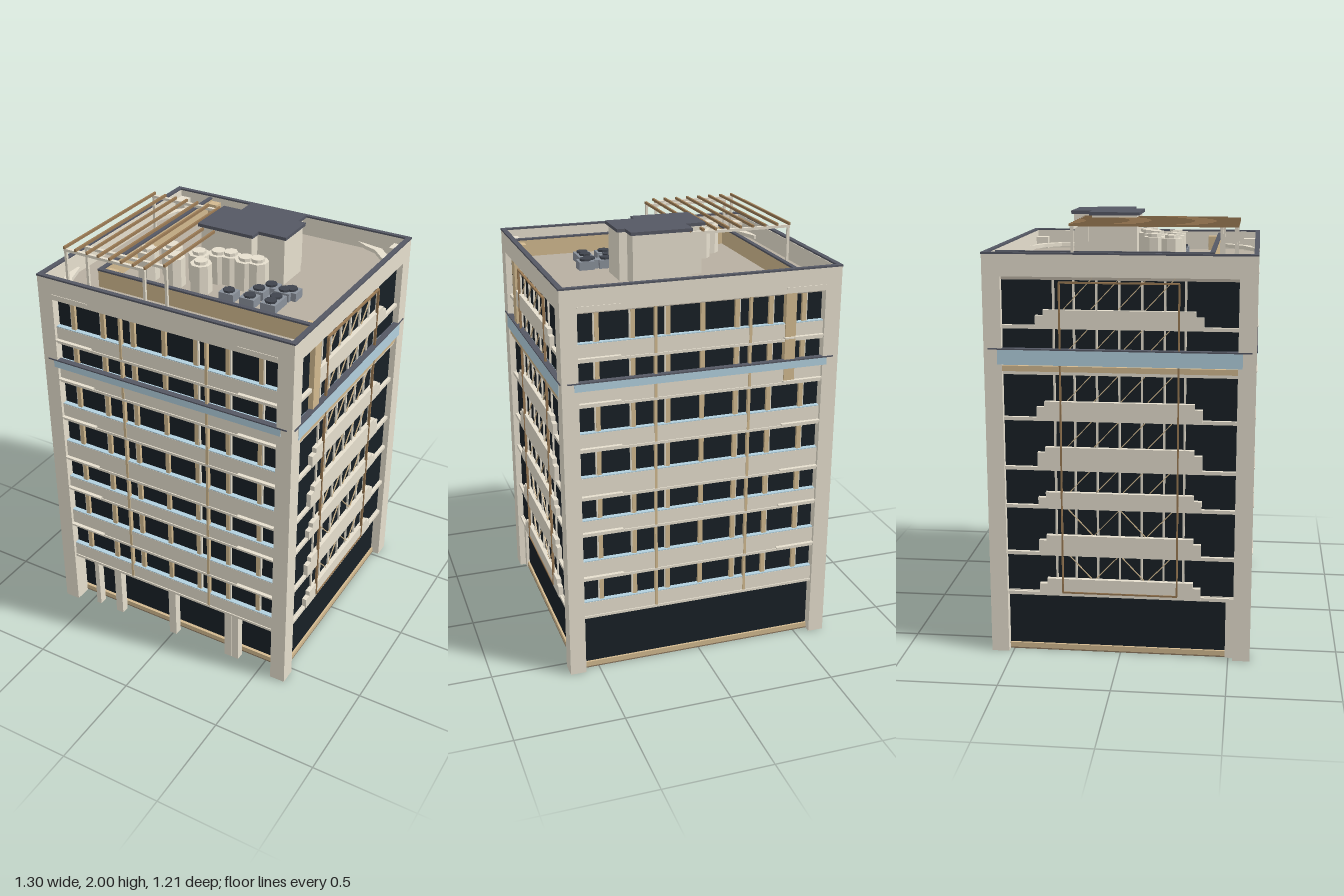
import * as THREE from 'three';

const mat = (color) => new THREE.MeshStandardMaterial({ color, flatShading: true });
const M = {
  wall: mat(0xe6dfce), tan: mat(0xd2b98f), glass: mat(0x182026), blue: mat(0xb2d0de),
  dark: mat(0x555864), roof: mat(0xb8afa1), brown: mat(0x9a7a54), base: mat(0x8d7860),
  unit: mat(0x8a919b), fan: mat(0x3f444d),
};

// Box given by its limits on each axis
function box(parent, name, m, x0, x1, y0, y1, z0, z1) {
  const mesh = new THREE.Mesh(new THREE.BoxGeometry(x1 - x0, y1 - y0, z1 - z0), m);
  mesh.position.set((x0 + x1) / 2, (y0 + y1) / 2, (z0 + z1) / 2);
  mesh.name = name;
  parent.add(mesh);
  return mesh;
}

function group(parent, name) {
  const g = new THREE.Group();
  g.name = name;
  parent.add(g);
  return g;
}

// Window rows, bottom to top: [sill, head]
const ROWS = [[0.365, 0.475], [0.575, 0.70], [0.78, 0.88], [0.99, 1.11],
  [1.20, 1.32], [1.435, 1.525], [1.61, 1.755]];
const SLABS = [0.28, ...ROWS.slice(0, 6).map((r) => r[1])];
const ROOF = 1.76;

// Long facade facing +z, with solid spandrels and window posts
function longFacade(parent, name) {
  const g = group(parent, name);
  ROWS.forEach(([sill, head], i) => {
    box(g, 'spandrel', M.wall, -0.58, 0.58, SLABS[i], sill - 0.004, 0.5, 0.585);
    box(g, 'sill', M.blue, -0.575, 0.575, sill - 0.004, sill, 0.5, 0.584);
    box(g, 'ledge', M.wall, -0.58, 0.58, SLABS[i], SLABS[i] + 0.012, 0.58, 0.59);
    for (const s of [-1, 1]) {
      for (const x of [0.16, 0.32, 0.48]) {
        box(g, 'windowPost', M.tan, s * x - 0.01, s * x + 0.01, sill, head, 0.55, 0.575);
        box(g, 'windowFrame', M.wall, s * x + s * 0.012 - 0.003, s * x + s * 0.012 + 0.003, sill, head, 0.55, 0.573);
      }
      // Short shading fins beside the corner columns
      box(g, 'shadingFin', M.wall, s * 0.475 - 0.095, s * 0.475 + 0.095, head + 0.015, head + 0.022, 0.58, 0.603);
    }
    box(g, 'windowPost', M.tan, -0.01, 0.01, sill, head, 0.55, 0.575);
  });
  for (const x of [-0.22, 0.22]) box(g, 'pipe', M.tan, x - 0.006, x + 0.006, 0.28, 1.755, 0.57, 0.589);
  box(g, 'balconyGlass', M.blue, -0.59, 0.59, 1.40, 1.435, 0.575, 0.601);
  box(g, 'handrail', M.dark, -0.62, 0.62, 1.435, 1.441, 0.575, 0.603);
  return g;
}

// Short facade facing +x, with balconies, lattice and a thin frame
function shortFacade(parent, name) {
  const g = group(parent, name);
  ROWS.forEach(([sill, head], i) => {
    const y = SLABS[i];
    box(g, 'floorSlab', M.wall, 0.59, 0.632, y, y + 0.016, -0.53, 0.53);
    if (i !== 5) {
      box(g, 'balcony', M.wall, 0.59, 0.637, y + 0.006, sill - 0.025, -0.37, 0.37);
      box(g, 'balconyTop', M.wall, 0.59, 0.637, sill - 0.025, sill, -0.335, 0.335);
    }
    for (const z of [-0.29, -0.2, -0.1, 0, 0.1, 0.2, 0.29])
      box(g, 'mullion', M.wall, 0.6, 0.623, sill, head, z - 0.005, z + 0.005);
    // Diagonal lattice bars
    const h = head - sill;
    for (let k = 0; k < 4; k++) {
      const bar = box(g, 'latticeBar', M.tan, 0.62, 0.625, 0, h * 1.3, -0.002, 0.002);
      bar.position.set(0.6225, (sill + head) / 2, -0.18 + k * 0.12);
      bar.rotation.x = i < 2 && k % 2 ? 0.75 : -0.75;
    }
  });
  for (const z of [-0.262, 0.262]) box(g, 'frameSide', M.brown, 0.63, 0.641, 0.3, 1.73, z - 0.004, z + 0.004);
  for (const y of [0.3, 1.73]) box(g, 'frameBar', M.brown, 0.63, 0.641, y - 0.004, y + 0.004, -0.264, 0.264);
  box(g, 'bandTrim', M.tan, 0.59, 0.638, 1.335, 1.36, -0.54, 0.54);
  box(g, 'balconyGlass', M.blue, 0.6, 0.647, 1.365, 1.432, -0.54, 0.54);
  box(g, 'handrail', M.dark, 0.62, 0.649, 1.432, 1.438, -0.58, 0.58);
  return g;
}

// Flat outline in x and z, extruded upwards
function prism(parent, name, m, pts, y0, y1) {
  const shape = new THREE.Shape(pts.map(([x, z]) => new THREE.Vector2(x, -z)));
  const geo = new THREE.ExtrudeGeometry(shape, { depth: y1 - y0, bevelEnabled: false });
  geo.rotateX(-Math.PI / 2).translate(0, y0, 0);
  const mesh = new THREE.Mesh(geo, m);
  mesh.name = name;
  parent.add(mesh);
}

function cylinder(parent, name, m, r, x, z, y0, y1) {
  const mesh = new THREE.Mesh(new THREE.CylinderGeometry(r, r, y1 - y0, 8).rotateY(Math.PI / 8), m);
  mesh.position.set(x, (y0 + y1) / 2, z);
  mesh.name = name;
  parent.add(mesh);
}

export function createModel() {
  const model = new THREE.Group();
  model.name = 'officeBuilding';

  // Core and ground floor
  box(model, 'groundBase', M.base, -0.61, 0.61, 0, 0.006, -0.565, 0.515);
  box(model, 'groundPlinth', M.tan, -0.61, 0.61, 0.006, 0.03, -0.565, 0.515);
  box(model, 'groundGlass', M.glass, -0.6, 0.6, 0.03, 0.28, -0.555, 0.5);
  box(model, 'firstFloorSlab', M.wall, -0.62, 0.62, 0.28, 0.3, -0.575, 0.575);
  box(model, 'upperGlass', M.glass, -0.615, 0.615, 0.3, 1.74, -0.56, 0.56);
  box(model, 'roofDeck', M.roof, -0.625, 0.625, 1.74, ROOF, -0.58, 0.58);
  for (const s of [-1, 1]) box(model, 'groundPier', M.wall, s * 0.6 - 0.015, s * 0.6 + 0.015, 0, 0.28, 0.485, 0.52);
  for (const [x, w] of [[-0.455, 0.025], [-0.325, 0.04], [0, 0.04], [0.32, 0.04], [0.36, 0.035]])
    box(model, 'frontColumn', M.wall, x - w / 2, x + w / 2, 0, 0.28, 0.535, 0.575);

  // Corner columns
  for (const sx of [-1, 1]) for (const sz of [-1, 1]) {
    box(model, 'cornerColumn', M.wall, sx * 0.6075 - 0.0375, sx * 0.6075 + 0.0375, 0, ROOF,
      sz * 0.56 - 0.04, sz * 0.56 + 0.04);
    box(model, 'roofCornerBlock', M.wall, sx * 0.598 - 0.03, sx * 0.598 + 0.03, ROOF, 1.82,
      sz * 0.55 - 0.03, sz * 0.55 + 0.03);
    // Bent beam across the roof corner
    const outer = [[0.63, 0.33], [0.61, 0.455], [0.52, 0.555], [0.38, 0.58]];
    const inner = [[0.44, 0.545], [0.495, 0.525], [0.572, 0.445], [0.61, 0.33]];
    let pts = [...outer, ...inner].map(([x, z]) => [sx * x, sz * z]);
    if (sx * sz < 0) pts = pts.reverse();
    prism(model, 'cornerBeam', M.wall, pts, 1.772, 1.79);
  }

  // Facades
  longFacade(model, 'frontFacade');
  longFacade(model, 'backFacade').rotation.y = Math.PI;
  shortFacade(model, 'rightFacade');
  shortFacade(model, 'leftFacade').rotation.y = Math.PI;

  // Posts of the upper storeys
  box(model, 'upperPost', M.tan, -0.435, -0.385, 1.34, 1.83, -0.592, -0.535);
  box(model, 'upperPost', M.tan, 0.575, 0.639, 1.34, 1.83, 0.335, 0.395);
  box(model, 'upperPost', M.tan, -0.435, -0.385, 1.7, 1.83, 0.335, 0.385);

  // Parapet with dark coping
  for (const s of [-1, 1]) {
    box(model, 'parapet', M.wall, -0.645, 0.645, 1.75, 1.852, s * 0.59 - 0.01, s * 0.59 + 0.01);
    box(model, 'parapet', M.wall, s * 0.633 - 0.012, s * 0.633 + 0.012, 1.755, 1.852, -0.58, 0.58);
    box(model, 'coping', M.dark, -0.648, 0.648, 1.852, 1.86, s * 0.59 - 0.011, s * 0.59 + 0.011);
    box(model, 'coping', M.dark, s * 0.636 - 0.012, s * 0.636 + 0.012, 1.852, 1.86, -0.58, 0.58);
  }
  box(model, 'innerParapet', M.tan, -0.453, -0.437, ROOF, 1.84, -0.58, 0.4);
  box(model, 'innerParapet', M.tan, -0.453, 0.625, ROOF, 1.84, 0.386, 0.402);
  box(model, 'innerCoping', M.dark, -0.455, -0.435, 1.84, 1.848, -0.58, 0.405);
  box(model, 'innerCoping', M.dark, -0.435, 0.625, 1.84, 1.848, 0.384, 0.405);

  // Stair house
  const hut = [[-0.145, 0.04], [0.14, 0.04], [0.14, -0.015], [0.278, -0.015], [0.278, -0.21],
    [0.24, -0.21], [0.24, -0.295], [-0.05, -0.295], [-0.05, -0.197], [-0.145, -0.197]];
  prism(model, 'stairHouseRoof', M.dark, hut, 1.985, 2.0);
  prism(model, 'stairHouseWalls', M.wall,
    hut.map(([x, z]) => [x + (x > 0 ? -0.012 : 0.012), z + (z > -0.1 ? -0.012 : 0.012)]), ROOF, 1.985);

  // Pergola
  const pergola = group(model, 'pergola');
  for (const [z, x0, x1] of [[-0.215, -0.555, -0.06], [0.435, -0.49, -0.06], [0.5, -0.555, -0.13]]) {
    box(pergola, 'pergolaRail', M.wall, x0, x1, 1.953, 1.966, z - 0.008, z + 0.008);
    for (const x of [x0 + 0.006, x1 - 0.006])
      box(pergola, 'pergolaPost', M.wall, x - 0.006, x + 0.006, ROOF, 1.953, z - 0.006, z + 0.006);
  }
  for (let i = 0; i < 9; i++) {
    const x = -0.55 + i * 0.0606;
    box(pergola, 'pergolaSlat', M.brown, x - 0.005, x + 0.005, 1.966, 1.978, -0.228, i === 8 ? 0.45 : 0.512);
  }

  // Water tanks
  for (const [x, z] of [[-0.31, 0.205], [-0.235, 0.12], [-0.17, 0.205], [-0.09, 0.12], [-0.03, 0.205],
    [-0.015, 0.075], [0.04, 0.06], [0.125, 0.075], [0.18, 0.06]]) {
    cylinder(model, 'waterTank', M.wall, 0.05, x, z, ROOF, 1.897);
    cylinder(model, 'tankLid', M.wall, 0.032, x, z, 1.897, 1.912);
  }

  // Cooling units with fans
  for (const [x, z] of [[0.12, 0.215], [0.225, 0.215], [0.33, 0.215], [0.33, 0.165], [0.225, 0.13],
    [0.255, 0.07], [0.33, 0.085], [0.355, 0.065]]) {
    box(model, 'coolingUnit', M.unit, x - 0.037, x + 0.037, ROOF, 1.80, z - 0.032, z + 0.032);
    cylinder(model, 'coolingFan', M.fan, 0.027, x, z, 1.80, 1.81);
  }
  return model;
}
